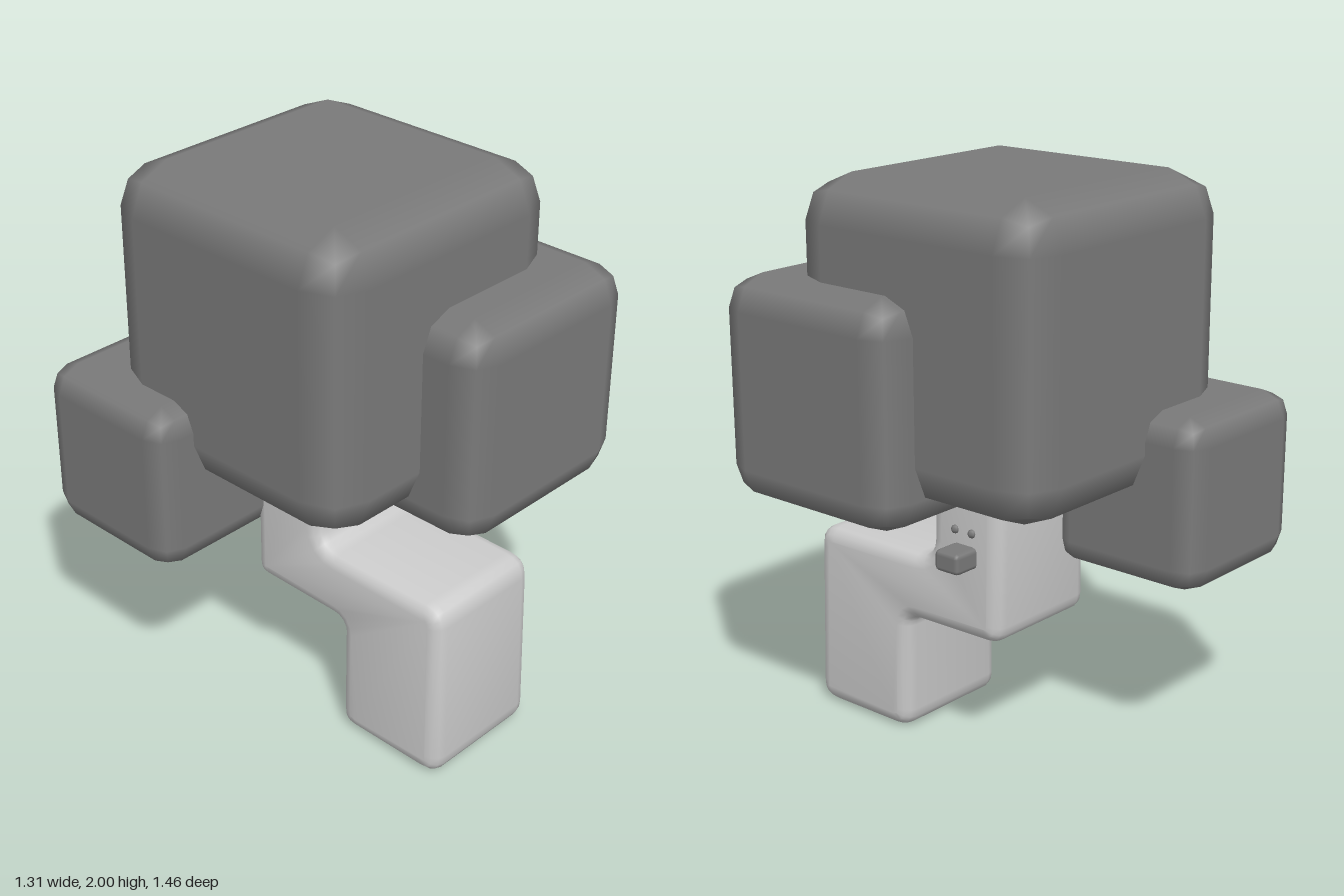
import * as THREE from 'three';
import { RoundedBoxGeometry } from 'three/addons/geometries/RoundedBoxGeometry.js';
import { toCreasedNormals } from 'three/addons/utils/BufferGeometryUtils.js';

const bark = new THREE.MeshStandardMaterial({ color: 0xcccccc });
const dark = new THREE.MeshStandardMaterial({ color: 0x7a7a7a });

// Rounded box given by its minimum and maximum corners
function roundedBlock(name, min, max, radius) {
  const size = max.map((v, i) => v - min[i]);
  const mesh = new THREE.Mesh(new RoundedBoxGeometry(...size, 1, radius), dark);
  mesh.position.set(...max.map((v, i) => (v + min[i]) / 2));
  mesh.name = name;
  return mesh;
}

// Closed shape from [x, y, corner radius] points
function roundedShape(points) {
  const shape = new THREE.Shape();
  const n = points.length;
  points.forEach(([x, y, r], i) => {
    const p = new THREE.Vector2(x, y);
    const toward = ([qx, qy]) => new THREE.Vector2(qx, qy).sub(p).setLength(r).add(p);
    const a = toward(points[(i + n - 1) % n]);
    const b = toward(points[(i + 1) % n]);
    if (i === 0) shape.moveTo(a.x, a.y);
    else shape.lineTo(a.x, a.y);
    shape.quadraticCurveTo(x, y, b.x, b.y);
  });
  shape.closePath();
  return shape;
}

// Stepped trunk: side profile in (z, y), extruded across x
function makeTrunk() {
  const profile = roundedShape([
    [0.695, 0, 0.075], [0.68, 0.682, 0.075], [0.13, 0.682, 0.08], [0.125, 1.2, 0.06],
    [-0.18, 1.2, 0.06], [-0.173, 0.44, 0.06], [0.245, 0.435, 0.04], [0.245, 0, 0.07],
  ].reverse());
  const left = 0.272, right = -0.217, bevel = 0.05;
  const geometry = new THREE.ExtrudeGeometry(profile, {
    depth: left - right - 2 * bevel, curveSegments: 4,
    bevelEnabled: true, bevelThickness: bevel, bevelSize: bevel, bevelOffset: -bevel, bevelSegments: 3,
  });
  geometry.rotateY(-Math.PI / 2);
  geometry.translate(left - bevel, 0, 0);
  // The trunk narrows slightly upwards
  const p = geometry.attributes.position;
  for (let i = 0; i < p.count; i++) {
    p.setX(i, 0.028 + (p.getX(i) - 0.028) * (1 - 0.04 * p.getY(i)));
  }
  const mesh = new THREE.Mesh(toCreasedNormals(geometry, 0.8), bark);
  mesh.name = 'trunk';
  return mesh;
}

export function createModel() {
  const model = new THREE.Group();
  model.name = 'tree';
  model.add(makeTrunk());

  // Foliage blocks
  model.add(
    roundedBlock('mainFoliage', [-0.515, 0.96, -0.53], [0.523, 2, 0.51], 0.155),
    roundedBlock('frontFoliage', [-0.128, 0.88, -0.05], [0.655, 1.66, 0.73], 0.117),
    roundedBlock('backFoliage', [-0.658, 0.65, -0.73], [-0.055, 1.25, -0.13], 0.09),
  );

  // Face on the left side of the trunk
  const face = new THREE.Group();
  face.name = 'face';
  face.add(roundedBlock('nose', [0.24, 0.7, -0.081], [0.362, 0.775, 0.025], 0.017));
  for (const z of [0.013, -0.061]) {
    const eye = new THREE.Mesh(new THREE.SphereGeometry(0.016, 6, 4), dark);
    eye.position.set(0.265, 0.823, z);
    eye.name = 'eye';
    face.add(eye);
  }
  model.add(face);
  return model;
}
